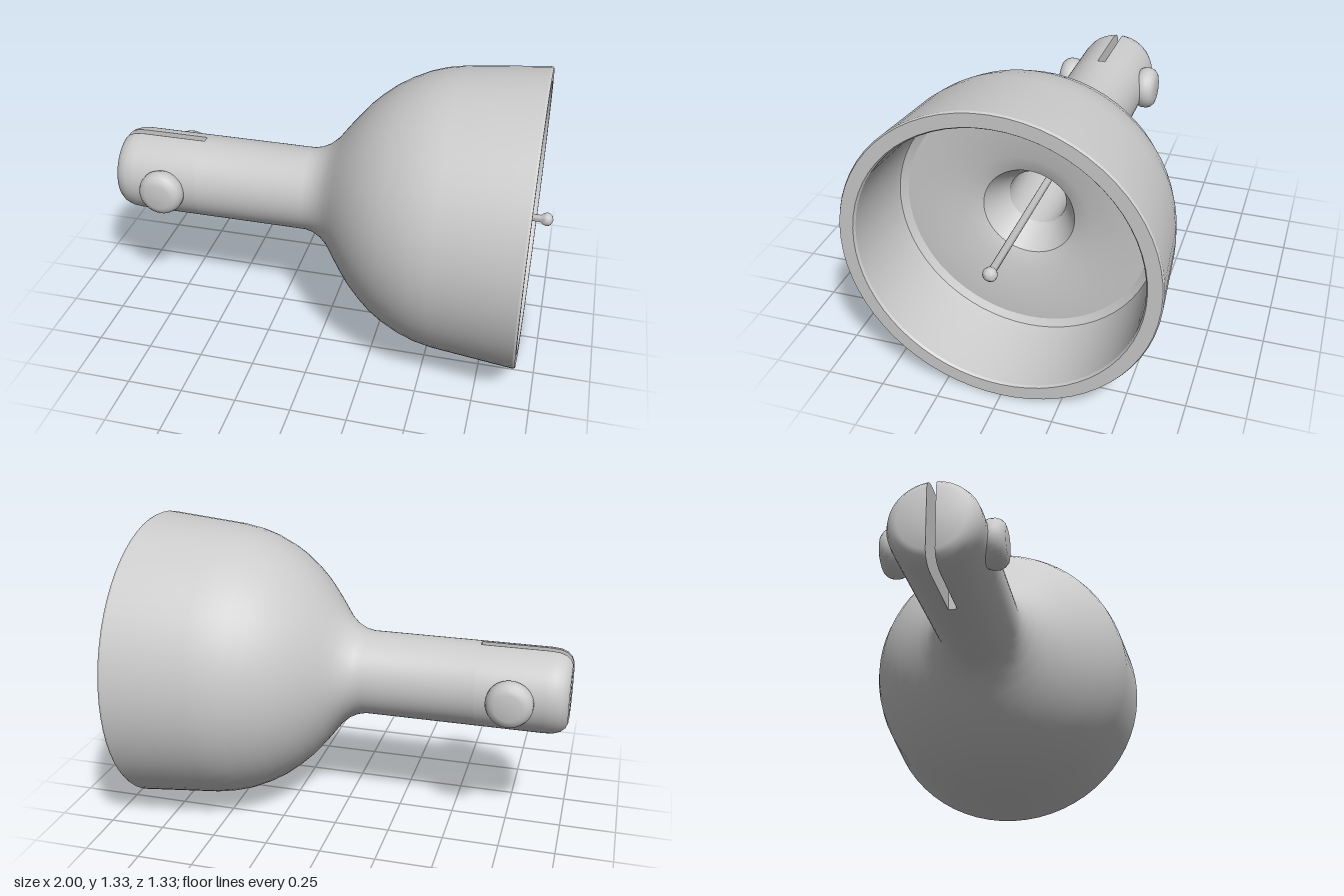
import * as THREE from 'three';
import { toCreasedNormals } from 'three/addons/utils/BufferGeometryUtils.js';

const AXIS_Y = 0.665;   // height of the horizontal main axis
const SLOT = 0.018;     // half width of the slot in the stem
const material = new THREE.MeshStandardMaterial({ color: 0xcccccc });

// Turn a list of [along, radius] points around the y axis
function turned(points, segments = 64, start = 0, length = Math.PI * 2) {
  const profile = points.map(([a, r]) => new THREE.Vector2(r, a));
  return new THREE.LatheGeometry(profile, segments, start, length);
}

function add(parent, name, geometry, crease = 0.5) {
  const mesh = new THREE.Mesh(toCreasedNormals(geometry, crease), material);
  mesh.name = name;
  parent.add(mesh);
  return mesh;
}

export function createModel() {
  const model = new THREE.Group();
  const body = new THREE.Group();
  body.name = 'body';
  body.position.y = AXIS_Y;
  model.add(body);

  // Bell and hollow stem: outside towards the rim, then back down the inside
  const bell = [
    [-0.6, 0], [-0.6, 0.19], [-0.1, 0.19], [-0.06, 0.199], [-0.02, 0.22], [0.02, 0.256],
    [0.06, 0.31], [0.1, 0.362], [0.15, 0.422], [0.2, 0.47], [0.26, 0.519], [0.32, 0.556],
    [0.4, 0.594], [0.47, 0.616], [0.55, 0.631], [0.91, 0.665], [0.92, 0.66],
    [0.92, 0.602], [0.91, 0.595], [0.62, 0.57], [0.57, 0.56], [0.55, 0.53],
    [0.55, 0.275], [0.52, 0.2], [0.43, 0.145], [0.4, 0.127], [-0.58, 0.127], [-0.58, 0],
  ];
  add(body, 'bell', turned(bell).rotateZ(-Math.PI / 2));

  // Split end of the stem: two half-round prongs with flat inner faces
  const end = [
    [-1, 0], [-1, 0.135], [-0.99, 0.158], [-0.97, 0.176], [-0.94, 0.187], [-0.9, 0.19], [-0.6, 0.19],
  ];
  // Rounded button on the outside of each prong
  const button = [
    [0.15, 0], [0.15, 0.075], [0.166, 0.094], [0.185, 0.103], [0.212, 0.103],
    [0.232, 0.095], [0.246, 0.08], [0.252, 0.06], [0.252, 0],
  ];
  for (const side of [0, 1]) {
    const half = new THREE.Group();
    half.name = side ? 'backProng' : 'frontProng';
    half.rotation.x = side * Math.PI;
    body.add(half);

    const shell = turned(end, 32, -Math.PI / 2, Math.PI).rotateZ(-Math.PI / 2);
    const p = shell.attributes.position;
    for (let i = 0; i < p.count; i++) p.setZ(i, Math.max(p.getZ(i), SLOT));
    add(half, 'prongShell', shell);

    const outline = [...end.map(([a, r]) => new THREE.Vector2(a, -r)),
      ...end.slice(1).reverse().map(([a, r]) => new THREE.Vector2(a, r))];
    const face = new THREE.ShapeGeometry(new THREE.Shape(outline));
    add(half, 'prongInnerFace', face.rotateX(Math.PI).translate(0, 0, SLOT));

    const knob = turned(button, 32).rotateX(Math.PI / 2).translate(-0.755, 0, 0);
    add(half, 'button', knob, 0.9);
  }

  // Crossbar at the bottom of the bore, holding the rod
  add(body, 'crossbar', new THREE.BoxGeometry(0.03, 0.25, 0.036).translate(-0.567, 0, 0));

  // Thin central rod with a small knob at its tip
  const rod = [
    [-0.58, 0], [-0.58, 0.016], [0.945, 0.016], [0.958, 0.026], [0.97, 0.03],
    [0.983, 0.028], [0.994, 0.018], [1, 0],
  ];
  add(body, 'rod', turned(rod, 16).rotateZ(-Math.PI / 2), 0.8);

  return model;
}
